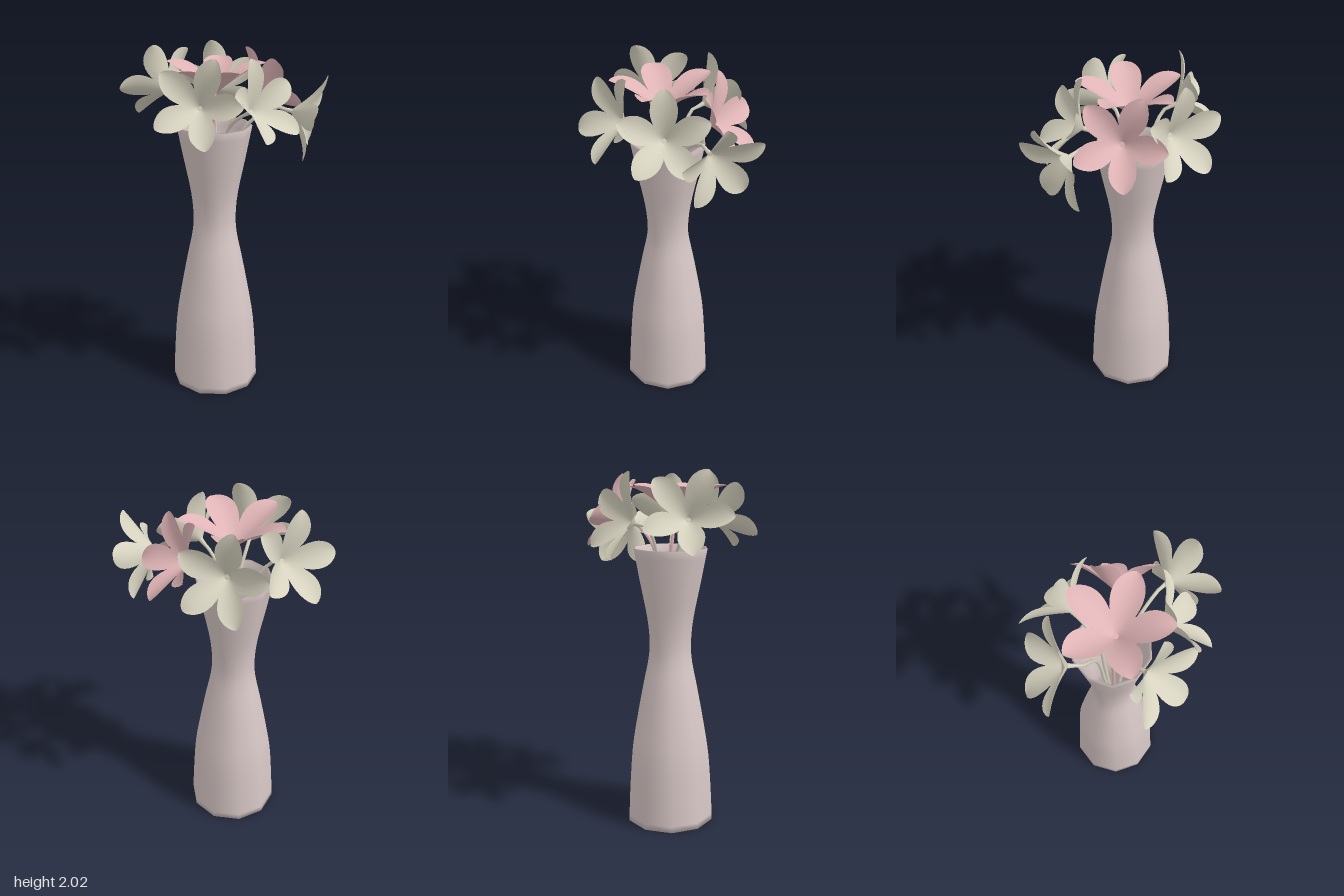
import * as THREE from 'three';

const V = (a) => new THREE.Vector3(...a);
const mat = (color) => new THREE.MeshStandardMaterial({ color, side: THREE.DoubleSide });
const vaseMat = mat(0xd8c8c6);
const creamMat = mat(0xd6d2bf);
const pinkMat = mat(0xe0b4b6);

const VASE_X = -0.065;

// base: where petals meet, n: facing direction, ref: direction of one petal, size: scale
const FLOWERS = [
  { name: 'topFlower', base: [-0.05, 1.765, 0.02], n: [0, 1, 0], ref: [-0.02, 0, 0.3], size: 1.18, m: pinkMat },
  { name: 'backFlower', base: [0.044, 1.727, -0.219], n: [0.3, 0.5, -0.81], ref: [0, -0.2, -0.12], size: 1, m: pinkMat },
  { name: 'leftBackFlower', base: [0.303, 1.685, -0.208], n: [0.849, -0.242, -0.473], ref: [0.05, 0.23, 0], size: 1, m: creamMat },
  { name: 'leftFlower', base: [0.2, 1.704, 0.02], n: [0.87, 0.49, 0], ref: [-0.12, 0.21, 0], size: 1, m: creamMat },
  { name: 'frontFlower', base: [0.027, 1.734, 0.225], n: [0.47, 0.385, 0.794], ref: [0.01, 0.19, -0.15], size: 1, m: creamMat },
  { name: 'rightFlower', base: [-0.314, 1.757, 0.085], n: [-0.884, 0.453, -0.11], ref: [-0.107, -0.21, 0.03], size: 1, m: creamMat },
  { name: 'rightBackFlower', base: [-0.205, 1.735, -0.19], n: [-0.45, 0.3, -0.84], ref: [-0.13, -0.23, 0], size: 1, m: creamMat },
];

// Rounded petal: narrow at its root, rising steeply and then opening outward along +z
function petalGeometry() {
  const g = new THREE.PlaneGeometry(1, 1, 6, 12);
  const p = g.attributes.position;
  for (let i = 0; i < p.count; i++) {
    const side = -p.getX(i) * 2;
    const t = 1 - Math.pow(0.5 - p.getY(i), 1.5);
    const half = 0.005 * (1 - t) + 0.068 * Math.pow(Math.max(0, Math.sin(Math.PI * Math.pow(t, 1.3))), 0.6);
    const rise = 0.135 * (1 - Math.pow(1 - t, 1.6));
    const cup = 0.016 * side * side * (half / 0.068);
    p.setXYZ(i, side * half, rise + cup, 0.006 + 0.241 * t - cup * 0.4);
  }
  g.computeVertexNormals();
  return g;
}

function createFlower(f, petalGeo) {
  const group = new THREE.Group();
  group.name = f.name;

  // Petal head, turned to face along n
  const head = new THREE.Group();
  head.name = 'flowerHead';
  const y = V(f.n).normalize();
  const x = new THREE.Vector3().crossVectors(y, V(f.ref)).normalize();
  const z = new THREE.Vector3().crossVectors(x, y);
  head.quaternion.setFromRotationMatrix(new THREE.Matrix4().makeBasis(x, y, z));
  head.position.copy(V(f.base));
  head.scale.setScalar(f.size);
  for (let i = 0; i < 5; i++) {
    const petal = new THREE.Mesh(petalGeo, f.m);
    petal.name = 'petal';
    petal.rotation.y = (i * Math.PI * 2) / 5;
    head.add(petal);
  }

  // Narrow throat under the petals
  const throat = new THREE.Mesh(new THREE.CylinderGeometry(0.014, 0.009, 0.05, 8), f.m);
  throat.name = 'throat';
  throat.position.y = -0.018;
  head.add(throat);
  group.add(head);

  // Stem bending from the flower down through the vase neck
  const b = V(f.base);
  const dx = b.x - VASE_X;
  const path = new THREE.CatmullRomCurve3([
    b.clone().addScaledVector(y, -0.02),
    b.clone().addScaledVector(y, -0.07),
    new THREE.Vector3(VASE_X + dx * 0.4, 1.58, b.z * 0.4),
    new THREE.Vector3(VASE_X + dx * 0.2, 1.2, b.z * 0.2),
    new THREE.Vector3(VASE_X - dx * 0.1, 0.5, -b.z * 0.1),
  ]);
  const stem = new THREE.Mesh(new THREE.TubeGeometry(path, 28, 0.01, 6), f.m);
  stem.name = 'stem';
  group.add(stem);
  return group;
}

// Ten-sided waisted vase with a thin wall
function createVase() {
  const outer = new THREE.SplineCurve([
    [0.255, 0], [0.248, 0.15], [0.23, 0.4], [0.198, 0.6], [0.16, 0.8],
    [0.129, 0.95], [0.122, 1.06], [0.135, 1.2], [0.175, 1.4], [0.212, 1.59],
  ].map((p) => new THREE.Vector2(...p))).getPoints(27);
  const wall = 0.014;
  const inner = outer.slice(1).reverse().map((p) => new THREE.Vector2(p.x - wall, p.y));
  const floor = new THREE.Vector2(0, inner[inner.length - 1].y);
  const points = [new THREE.Vector2(0, 0), ...outer, ...inner, floor];
  const vase = new THREE.Mesh(new THREE.LatheGeometry(points, 10), vaseMat);
  vase.name = 'vase';
  vase.rotation.y = Math.PI / 2;
  vase.position.x = VASE_X;
  return vase;
}

export function createModel() {
  const model = new THREE.Group();
  model.name = 'vaseOfFlowers';
  model.add(createVase());
  const petalGeo = petalGeometry();
  for (const f of FLOWERS) model.add(createFlower(f, petalGeo));
  return model;
}
